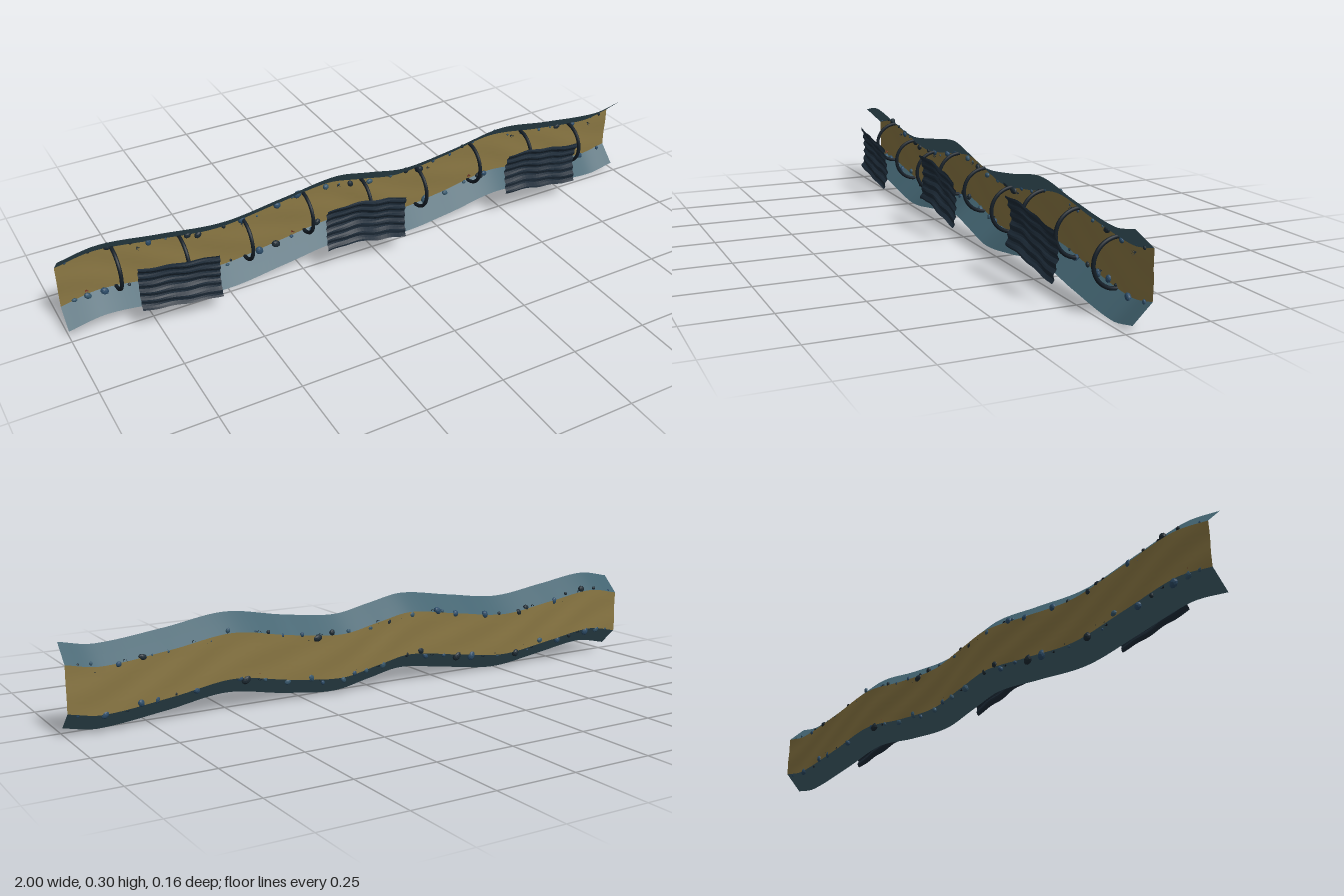
import * as THREE from 'three';

const FLOOR_Z = -0.074, HALF = 0.069, SEG = 120;

// Height of the winding path's middle line along x
const bends = [[-1.1, 0.13], [-1, 0.152], [-0.88, 0.172], [-0.7, 0.15], [-0.5, 0.127], [-0.3, 0.151], [-0.12, 0.174],
  [0.0, 0.154], [0.13, 0.131], [0.31, 0.149], [0.5, 0.178], [0.69, 0.152], [0.9, 0.13], [1, 0.147], [1.1, 0.165]];
function mid(x) {
  let i = 0;
  while (i < bends.length - 2 && x > bends[i + 1][0]) i++;
  const [x0, y0] = bends[i], [x1, y1] = bends[i + 1];
  const slope = (k) => {
    const a = bends[Math.max(k - 1, 0)], b = bends[Math.min(k + 1, bends.length - 1)];
    return (b[1] - a[1]) / (b[0] - a[0]);
  };
  const h = x1 - x0, t = (x - x0) / h, t2 = t * t, t3 = t2 * t;
  return (2 * t3 - 3 * t2 + 1) * y0 + (t3 - 2 * t2 + t) * h * slope(i)
    + (3 * t2 - 2 * t3) * y1 + (t3 - t2) * h * slope(i + 1);
}

// Small seeded generator
let seed = 7;
const rand = (a = 0, b = 1) => {
  seed = (seed * 16807) % 2147483647;
  return a + (b - a) * seed / 2147483647;
};

const mat = (color, flat = false) =>
  new THREE.MeshStandardMaterial({ color, flatShading: flat, side: THREE.DoubleSide });

// Sheet following the path: place(v, x) gives [offset from middle line, z] for v in -1..1
function sheet(x0, x1, nx, nv, place) {
  const g = new THREE.PlaneGeometry(x1 - x0, 2, nx, nv);
  const p = g.attributes.position;
  for (let i = 0; i < p.count; i++) {
    const x = p.getX(i) + (x0 + x1) / 2;
    const [dy, z] = place(p.getY(i), x);
    p.setXYZ(i, x, mid(x) + dy, z);
  }
  g.computeVertexNormals();
  return g;
}

export function createModel() {
  seed = 7;
  const root = new THREE.Group();
  const add = (name, geometry, material, parent = root) => {
    const m = new THREE.Mesh(geometry, material);
    m.name = name;
    parent.add(m);
    return m;
  };
  const sand = mat(0x8a7743), bank = mat(0x426370), wood = mat(0x1d2b38, true), rib = mat(0x141e27);
  const stones = [mat(0x2c4c68, true), mat(0x1d2a33, true), mat(0x35566b, true)];
  const coral = mat(0x7a3020, true);

  // Path floor with gentle ripples
  add('floor', sheet(-1, 1, SEG, 8, (v, x) => [v * HALF,
    FLOOR_Z + 0.0015 * Math.sin(x * 25 + v * 3) * (1 - v * v)]), sand);

  // Flared side banks
  for (const s of [1, -1]) {
    add(s > 0 ? 'upperBank' : 'lowerBank', sheet(-1, 1, SEG, 2, (v) => {
      const t = (1 + s * v) / 2;
      return [s * (HALF + 0.054 * t), FLOOR_Z + 0.056 * t];
    }), bank);
  }

  // Half-ring ribs spanning the path
  const ribs = new THREE.Group();
  ribs.name = 'ribs';
  root.add(ribs);
  const ring = new THREE.TorusGeometry(0.07, 0.006, 8, 28, Math.PI);
  ring.rotateZ(-Math.PI / 2).rotateY(-Math.PI / 2);
  for (let i = -4; i <= 4; i++) {
    const x = i * 0.2075;
    const m = add('rib', ring, rib, ribs);
    m.position.set(x, mid(x), FLOOR_Z);
    m.scale.z = 1.03;
  }

  // Rippled cover panels floating in front of the path
  for (const [a, b] of [[-0.8, -0.55], [-0.195, 0.085], [0.47, 0.755]]) {
    add('coverPanel', sheet(a, b, 24, 28, (v, x) => [v * 0.073 + 0.002 * Math.sin(x * 60),
      0.061 + 0.014 * Math.pow(Math.abs(v), 1.6)
      + 0.003 * Math.sin(v * 17 + x * 9) + 0.002 * Math.sin(x * 22 + v * 4)]), wood);
  }

  // Boulders and pebbles along both edges of the floor
  const rocks = new THREE.Group();
  rocks.name = 'rocks';
  root.add(rocks);
  const rock = new THREE.IcosahedronGeometry(1, 1);
  for (const s of [1, -1]) {
    for (let i = 0; i < 34; i++) {
      const x = Math.max(-0.97, Math.min(0.97, -0.97 + i * 0.0588 + rand(-0.025, 0.025)));
      const big = rand() < 0.4;
      const r = big ? rand(0.008, 0.013) : rand(0.003, 0.007);
      const m = add(big ? 'boulder' : 'pebble', rock, stones[Math.floor(rand(0, 3))], rocks);
      m.position.set(x, mid(x) + s * (HALF + rand(-0.012, 0.01)), FLOOR_Z + rand(0.001, 0.007));
      m.scale.set(r * rand(1, 1.4), r, r * 0.8);
      m.rotation.z = rand(0, 3);
    }
  }

  // Little spiky plants on the floor
  const plants = new THREE.Group();
  plants.name = 'plants';
  root.add(plants);
  const spike = new THREE.ConeGeometry(0.0012, 0.014, 5).translate(0, 0.007, 0).rotateX(Math.PI / 2);
  for (let i = 0; i < 12; i++) {
    const x = -0.92 + i * 0.167, s = i % 2 ? 1 : -1;
    for (let k = 0; k < 6; k++) {
      const m = add('spike', spike, i % 4 === 0 ? coral : stones[1], plants);
      m.position.set(x, mid(x) + s * 0.054, FLOOR_Z);
      const a = k * Math.PI / 3;
      m.rotation.set(0.6 * Math.cos(a), 0.6 * Math.sin(a), 0);
    }
  }
  return root;
}
